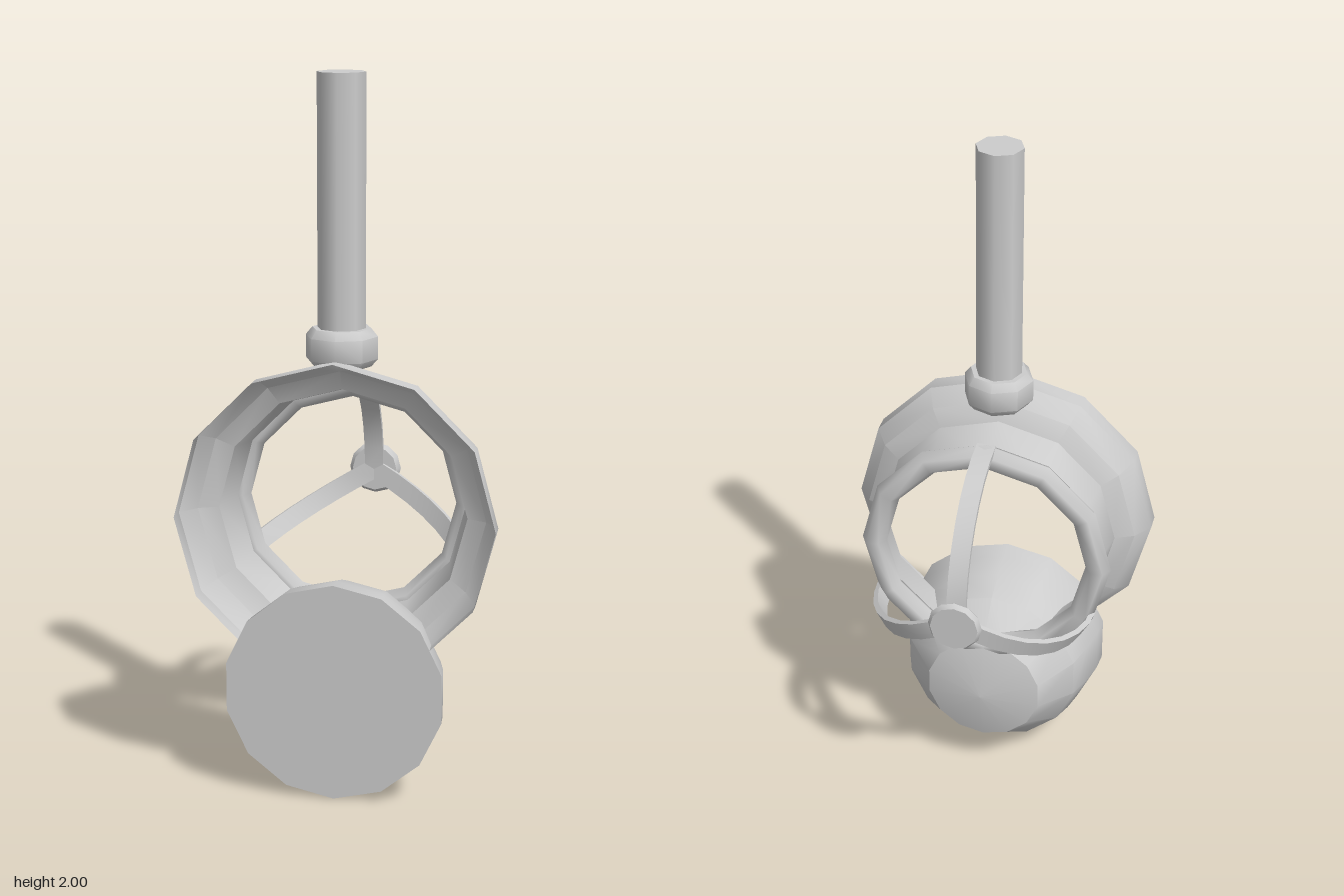
import * as THREE from 'three';
import { toCreasedNormals } from 'three/addons/utils/BufferGeometryUtils.js';

const grey = new THREE.MeshStandardMaterial({ color: 0xcccccc, side: THREE.DoubleSide });
grey.name = 'plainGrey';

const RING_Y = 0.79;

function addPart(parent, name, geometry, x = 0, y = 0, z = 0) {
  const mesh = new THREE.Mesh(geometry, grey);
  mesh.name = name;
  mesh.position.set(x, y, z);
  parent.add(mesh);
  return mesh;
}

// Turned profile of [radius, height] pairs, listed from low to high
function turned(profile, sides, crease) {
  const points = profile.map(([r, h]) => new THREE.Vector2(r, h));
  return toCreasedNormals(new THREE.LatheGeometry(points, sides), crease);
}

// Same, with the axis along z
const turnedZ = (profile, sides, crease) => turned(profile, sides, crease).rotateX(Math.PI / 2);

// Quarter-circle strap from the rim to the hub, lying in the y-z plane
function strapGeometry(outer, inner, width, steps) {
  const points = [];
  for (let i = 0; i <= steps; i++) {
    const a = (i / steps) * Math.PI / 2;
    points.push(new THREE.Vector2(Math.cos(a) * outer, Math.sin(a) * outer));
  }
  for (let i = steps; i >= 0; i--) {
    const a = (i / steps) * Math.PI / 2;
    points.push(new THREE.Vector2(Math.cos(a) * inner, Math.sin(a) * inner));
  }
  const g = new THREE.ExtrudeGeometry(new THREE.Shape(points), { depth: width, bevelEnabled: false });
  g.translate(0, 0, -width / 2);
  g.applyMatrix4(new THREE.Matrix4().makeBasis(
    new THREE.Vector3(0, 1, 0), new THREE.Vector3(0, 0, -1), new THREE.Vector3(-1, 0, 0)));
  return toCreasedNormals(g, 0.5);
}

export function createModel() {
  const model = new THREE.Group();
  model.name = 'hangingLamp';

  // Open flared housing
  addPart(model, 'housing', turnedZ([
    [0.322, 0.04], [0.35, 0.2], [0.405, 0.225], [0.445, 0.28], [0.445, 0.335],
  ], 12, 0.56), 0, RING_Y, 0);

  // Rounded rim at the back of the housing
  addPart(model, 'rim', new THREE.TorusGeometry(0.333, 0.037, 6, 12), 0, RING_Y, 0.0375);

  // Cage: three straps meeting at a hub
  const cage = new THREE.Group();
  cage.name = 'cage';
  cage.position.set(0, RING_Y, 0);
  model.add(cage);
  const strap = strapGeometry(0.365, 0.35, 0.055, 8);
  for (let i = 0; i < 3; i++) {
    addPart(cage, 'cageStrap', strap, 0, 0, 0.05).rotation.z = i * Math.PI * 2 / 3;
  }
  addPart(cage, 'cageHub', turnedZ([
    [0, -0.339], [0.068, -0.339], [0.077, -0.325], [0.066, -0.309], [0, -0.309],
  ], 12, 0.56));

  // Domed bulb with a flat front
  addPart(model, 'bulb', turnedZ([
    [0, -0.035], [0.172, 0.01], [0.26, 0.12], [0.287, 0.2], [0.305, 0.275], [0.31, 0.335], [0, 0.335],
  ], 14, 0.5), 0, 0.31, 0);

  // Hanging pole and its chamfered collar
  addPart(model, 'pole', new THREE.CylinderGeometry(0.067, 0.067, 0.72, 8), 0, 1.64, 0.2);
  addPart(model, 'collar', turned([
    [0, 1.207], [0.082, 1.207], [0.1, 1.228], [0.1, 1.29], [0.082, 1.312], [0, 1.312],
  ], 8, 0.8), 0, 0, 0.2);

  return model;
}
